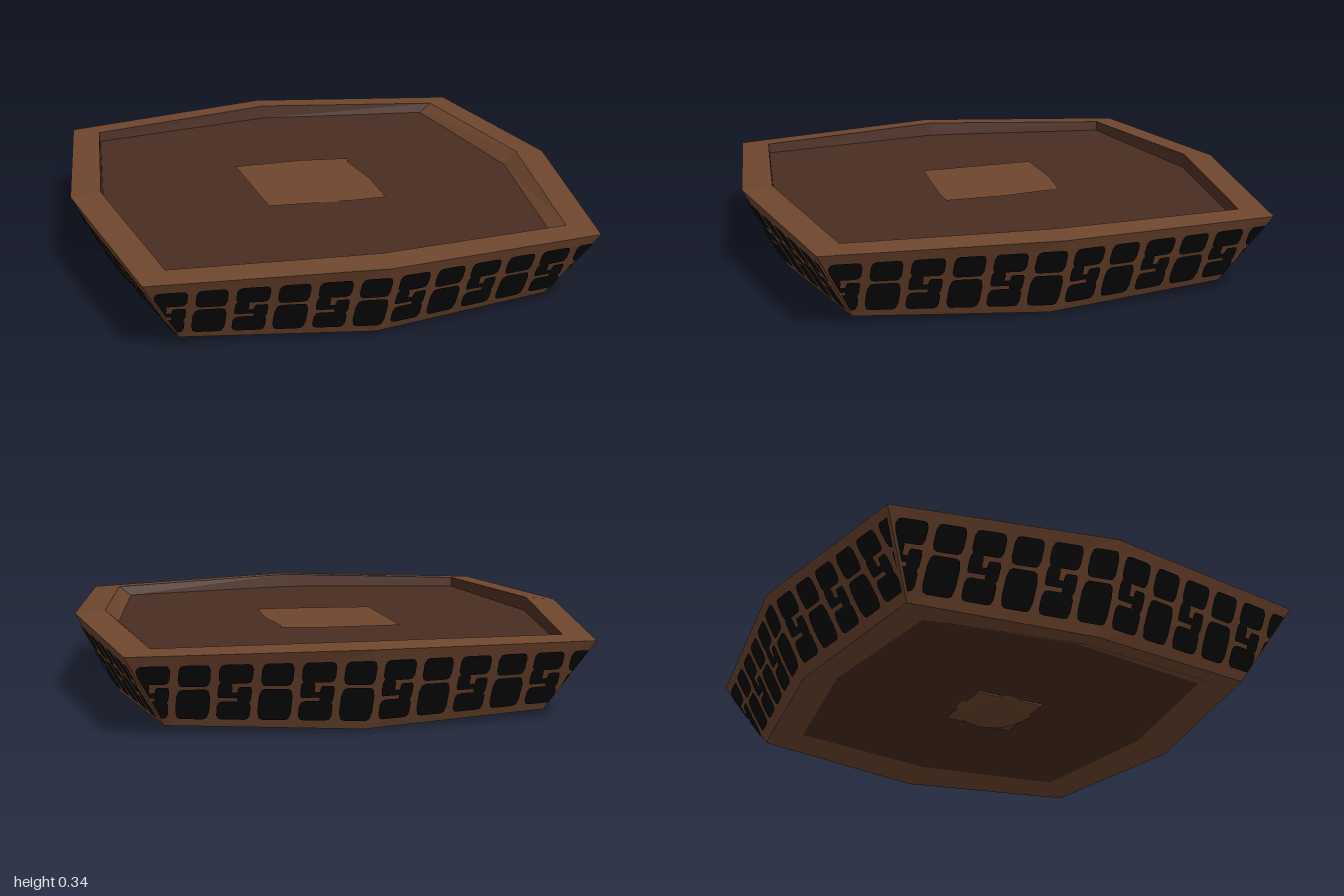
import * as THREE from 'three';
import { mergeGeometries } from 'three/addons/utils/BufferGeometryUtils.js';

const brown = new THREE.MeshStandardMaterial({ name: 'brownClay', color: 0x6f462e });
const dark = new THREE.MeshStandardMaterial({ name: 'darkClay', color: 0x4a2d21 });
const black = new THREE.MeshStandardMaterial({ name: 'blackPaint', color: 0x070707 });

const ALL = [0, 1, 2, 3, 4, 5, 6, 7];

// eight-point loop: side middles pushed out to `mid`, corners at `corner`
function loop(mid, corner, yMid, yCorner) {
  return ALL.map(i => {
    const a = i * Math.PI / 4;
    const r = i % 2 ? corner * Math.SQRT2 : mid;
    return new THREE.Vector3(Math.sin(a) * r, i % 2 ? yCorner : yMid, Math.cos(a) * r);
  });
}

// faceted skin through consecutive loops, on the chosen facets
function skin(loops, facets = ALL) {
  const pos = [];
  for (let k = 0; k < loops.length - 1; k++) {
    for (const i of facets) {
      const j = (i + 1) % 8, a = loops[k], b = loops[k + 1];
      for (const p of [a[i], a[j], b[j], a[i], b[j], b[i]]) pos.push(p.x, p.y, p.z);
    }
  }
  const g = new THREE.BufferGeometry();
  g.setAttribute('position', new THREE.Float32BufferAttribute(pos, 3));
  g.computeVertexNormals();
  return g;
}

// point on the front wall at a given x, t running up (0..1); stops at the corner edges
function wallPoint(x, t) {
  const mix = THREE.MathUtils.lerp;
  const edge = mix(0.72, 0.87, t);
  const s = THREE.MathUtils.clamp(x / edge, -0.99, 0.99), m = Math.abs(s);
  const y = mix(mix(0.01, 0.335, t), mix(0.03, 0.315, t), m);
  const z = mix(mix(0.83, 1, t), edge, m);
  return [s * edge, y - 0.003, z + 0.006];
}

// soft-cornered painted block on the front wall
function block(x0, x1, t0, t1) {
  const g = new THREE.PlaneGeometry(2, 2, 6, 4);
  const p = g.attributes.position;
  for (let i = 0; i < p.count; i++) {
    let u = p.getX(i), v = p.getY(i);
    if (Math.abs(u) > 0.99 && Math.abs(v) > 0.99) { u *= 0.88; v *= 0.9; }
    p.setXYZ(i, ...wallPoint(
      THREE.MathUtils.lerp(x0, x1, (u + 1) / 2),
      THREE.MathUtils.lerp(t0, t1, (v + 1) / 2)));
  }
  g.computeVertexNormals();
  return g;
}

// block layouts inside one cell: u0, u1, v0, v1
const PAIR = [[0, 1, 0, 0.56], [0.03, 0.97, 0.61, 1]];
const HOOK = [[0, 1, 0.66, 1], [0, 0.42, 0.4, 0.67], [0, 1, 0, 0.34],
  [0.58, 1, 0.32, 0.6], [0.3, 0.6, 0.4, 0.5]];

export function createModel() {
  const group = new THREE.Group();
  const add = (name, geo, mat) => {
    const mesh = new THREE.Mesh(geo, mat);
    mesh.name = name;
    group.add(mesh);
    return mesh;
  };

  const recess = loop(0.69, 0.6, 0.042, 0.045);
  const foot = loop(0.75, 0.65, 0.015, 0.032);
  const base = loop(0.83, 0.72, 0.01, 0.03);
  const rimOuter = loop(1, 0.87, 0.335, 0.315);
  const rimInner = loop(0.88, 0.77, 0.345, 0.325);
  const floorEdge = loop(0.872, 0.766, 0.29, 0.286);
  // the inner wall leans further in along one side
  floorEdge[1].x = floorEdge[3].x = 0.72;
  floorEdge[2].x = 0.83;

  add('underside', skin([loop(0, 0, 0.042, 0.042), recess]), dark);
  add('footRing', skin([recess, foot, base]), brown);
  add('outerWall', skin([base, rimOuter]), brown);
  add('rim', skin([rimOuter, rimInner]), brown);
  add('innerWall', skin([rimInner, floorEdge], [0, 3, 4, 5, 6, 7]), dark);
  add('leaningInnerWall', skin([rimInner, floorEdge], [1, 2]), brown);
  add('trayFloor', skin([floorEdge, loop(0, 0, 0.289, 0.289)]), dark);

  // worn square in the middle of the floor
  const outline = [[-0.27, 0.275], [0.01, 0.275], [0.21, 0.245], [0.2, 0.2],
    [0.23, 0], [0.23, -0.23], [0.1, -0.23], [-0.245, -0.2]];
  const patch = new THREE.ShapeGeometry(
    new THREE.Shape(outline.map(([x, y]) => new THREE.Vector2(x, y))));
  patch.rotateX(-Math.PI / 2);
  add('centerPatch', patch, brown).position.y = 0.293;

  // low domed knob on a square plate beneath
  const knobProfile = [[0, 0], [0.06, 0.005], [0.13, 0.02], [0.16, 0.042]]
    .map(([r, y]) => new THREE.Vector2(r, y));
  add('bottomKnob', new THREE.LatheGeometry(knobProfile, 12), brown);
  add('knobPlate', new THREE.BoxGeometry(0.29, 0.006, 0.29), brown).position.y = 0.04;

  // painted frieze: alternating paired blocks and hooks on all four sides
  const parts = [];
  const width = 0.12;
  for (let k = -5; k <= 6; k++) {
    const x = k * 0.1457 - 0.04 - width / 2;
    const cell = k % 2 ? HOOK : PAIR;
    for (const [u0, u1, v0, v1] of cell) {
      parts.push(block(x + u0 * width, x + u1 * width, 0.12 + v0 * 0.76, 0.12 + v1 * 0.76));
    }
  }
  const frieze = mergeGeometries(parts);
  for (let side = 0; side < 4; side++) {
    add('frieze', frieze, black).rotation.y = side * Math.PI / 2;
  }
  return group;
}
